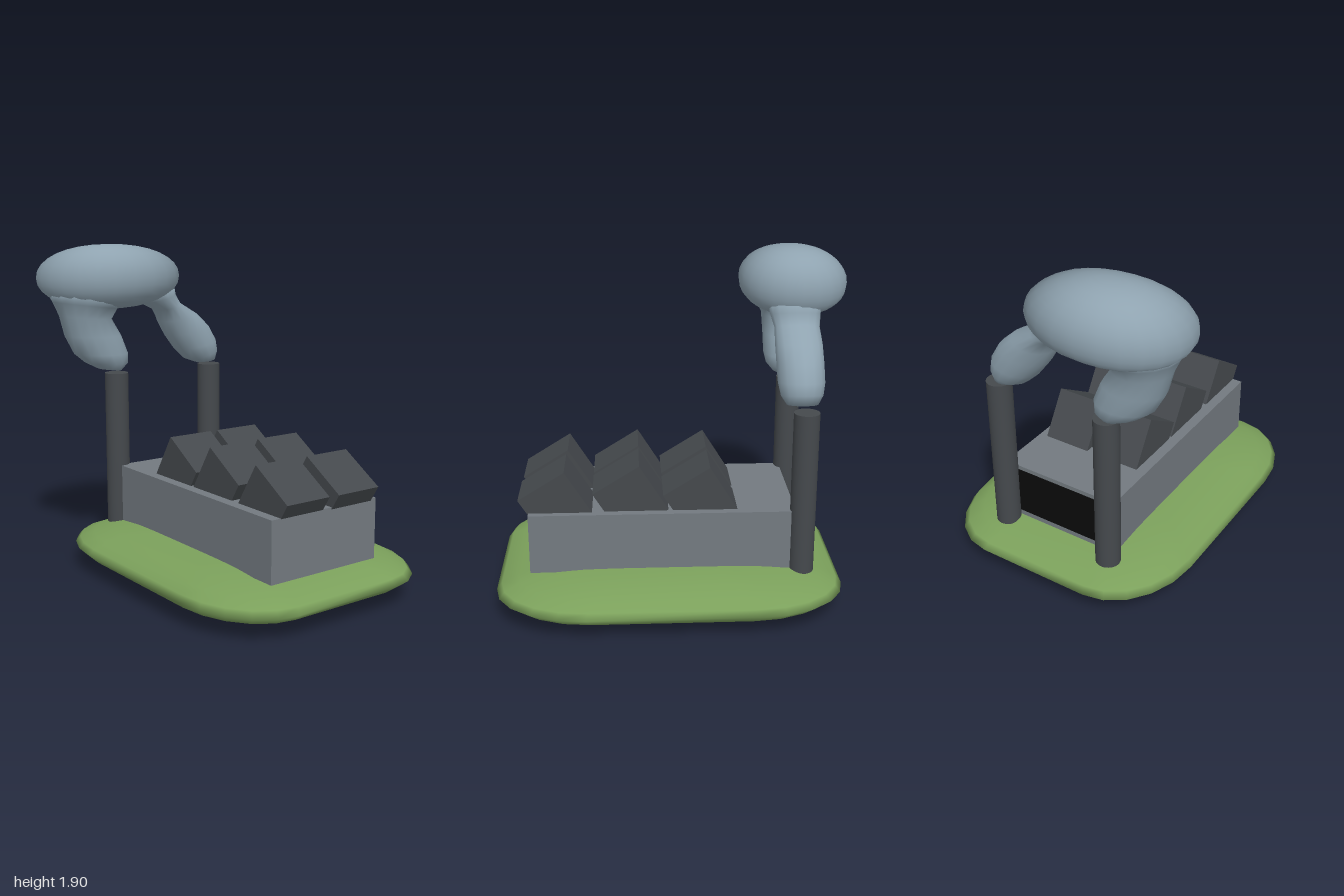
import * as THREE from 'three';

const mat = (name, color, extra = {}) => {
  const m = new THREE.MeshStandardMaterial({ color, ...extra });
  m.name = name;
  return m;
};

// Skin a stack of closed rings (bottom to top) and close both ends.
function loft(rings) {
  const n = rings[0].length, pos = [], idx = [];
  rings.forEach(r => r.forEach(p => pos.push(p.x, p.y, p.z)));
  for (let i = 0; i < rings.length - 1; i++) {
    for (let j = 0; j < n; j++) {
      const k = (j + 1) % n;
      const a = i * n + j, b = i * n + k, c = a + n, d = b + n;
      idx.push(a, c, b, b, c, d);
    }
  }
  for (const top of [false, true]) {
    const ring = rings[top ? rings.length - 1 : 0];
    const start = top ? (rings.length - 1) * n : 0;
    const mid = ring.reduce((s, p) => s.add(p), new THREE.Vector3()).divideScalar(n);
    const o = pos.length / 3;
    pos.push(mid.x, mid.y, mid.z);
    for (let j = 0; j < n; j++) {
      const a = start + j, b = start + (j + 1) % n;
      if (top) idx.push(o, b, a);
      else idx.push(o, a, b);
    }
  }
  const g = new THREE.BufferGeometry();
  g.setAttribute('position', new THREE.Float32BufferAttribute(pos, 3));
  g.setIndex(idx);
  g.computeVertexNormals();
  return g;
}

// Rounded slab: one rounded-rectangle outline scaled along an edge profile.
function groundGeometry() {
  const hx = 0.715, hz = 0.96, rx = 0.38, rz = 0.5, steps = 5;
  const outline = [];
  [[1, 1], [-1, 1], [-1, -1], [1, -1]].forEach(([sx, sz], q) => {
    for (let i = 0; i <= steps; i++) {
      const t = (q + i / steps) * Math.PI / 2;
      outline.push([sx * (hx - rx) + rx * Math.cos(t), sz * (hz - rz) + rz * Math.sin(t)]);
    }
  });
  const profile = [
    [0.2, 0], [0.5, 0.003], [0.64, 0.015], [0.82, 0.045], [0.94, 0.09], [1, 0.135],
    [0.97, 0.17], [0.88, 0.205], [0.75, 0.235], [0.59, 0.253], [0.42, 0.26], [0.2, 0.26],
  ];
  return loft(profile.map(([s, y]) =>
    outline.map(([x, z]) => new THREE.Vector3(0.055 + x * s, y, 0.04 + z * s))));
}

// Smoke column: each ring is [left x, left y, right x, right y, half depth].
function plumeGeometry(rings, z) {
  const n = 16;
  return loft(rings.map(([lx, ly, rx, ry, hz]) =>
    Array.from({ length: n }, (_, j) => {
      const t = j / n * Math.PI * 2, c = Math.cos(t) / 2;
      return new THREE.Vector3((lx + rx) / 2 + (rx - lx) * c, (ly + ry) / 2 + (ry - ly) * c, z + hz * Math.sin(t));
    })));
}

// Slightly squared ellipsoid for the drifting cloud.
function cloudGeometry() {
  const g = new THREE.SphereGeometry(1, 24, 16);
  const p = g.attributes.position;
  const soft = v => Math.sign(v) * Math.pow(Math.abs(v), 0.93);
  for (let i = 0; i < p.count; i++) {
    p.setXYZ(i, soft(p.getX(i)) * 0.445, soft(p.getY(i)) * 0.188, soft(p.getZ(i)) * 0.305);
  }
  g.computeBoundingSphere();
  return g;
}

export function createModel() {
  const model = new THREE.Group();
  model.name = 'factory';
  const grass = mat('grass green', 0x7ba05b);
  const wall = mat('wall grey', 0x737a80);
  const dark = mat('dark grey', 0x45494d);
  const black = mat('door black', 0x0a0a0a);
  const smoke = mat('smoke blue grey', 0x8fa3b0);

  const add = (name, geometry, material, x = 0, y = 0, z = 0, parent = model) => {
    const m = new THREE.Mesh(geometry, material);
    m.name = name;
    m.position.set(x, y, z);
    parent.add(m);
    return m;
  };

  add('ground', groundGeometry(), grass);

  // Main hall and its back door
  add('hall', new THREE.BoxGeometry(0.72, 0.34, 1.46), wall, 0.05, 0.41, 0.08);
  add('backDoor', new THREE.BoxGeometry(0.64, 0.28, 0.008), black, 0.05, 0.415, -0.652);

  // Tilted roof blocks: [x centre, ridge y, ridge z]
  const roof = new THREE.Group();
  roof.name = 'roofBlocks';
  model.add(roof);
  const block = new THREE.BoxGeometry(0.282, 0.3, 0.3);
  [
    [-0.11, 0.815, 0.605], [-0.108, 0.835, 0.205], [-0.108, 0.825, -0.18],
    [0.232, 0.815, 0.61], [0.222, 0.84, 0.205], [0.222, 0.825, -0.18],
  ].forEach(([x, y, z]) => {
    add('roofBlock', block, dark, x, y - 0.207, z + 0.048, roof).rotation.x = 0.557;
  });

  // Chimneys
  const pipe = new THREE.CylinderGeometry(0.07, 0.07, 0.92, 32);
  for (const x of [-0.295, 0.385]) add('chimney', pipe, dark, x, 0.68, -0.69);

  // Smoke
  add('smokeCloud', cloudGeometry(), smoke, -0.33, 1.715, -0.695);
  add('leftSmoke', plumeGeometry([
    [0.27, 1.16, 0.4, 1.18, 0.085], [0.2, 1.185, 0.415, 1.24, 0.115],
    [0.13, 1.25, 0.405, 1.3, 0.128], [0.06, 1.34, 0.35, 1.39, 0.13],
    [0.01, 1.43, 0.26, 1.47, 0.13], [-0.015, 1.5, 0.12, 1.55, 0.125],
    [-0.12, 1.55, 0.09, 1.61, 0.14], [-0.2, 1.62, 0.085, 1.67, 0.15],
  ], -0.673), smoke);
  add('rightSmoke', plumeGeometry([
    [-0.42, 1.175, -0.28, 1.16, 0.08], [-0.5, 1.215, -0.238, 1.2, 0.115],
    [-0.57, 1.27, -0.235, 1.26, 0.128], [-0.63, 1.38, -0.28, 1.37, 0.13],
    [-0.66, 1.5, -0.345, 1.47, 0.135], [-0.695, 1.58, -0.31, 1.53, 0.17],
    [-0.735, 1.65, -0.2, 1.61, 0.22],
  ], -0.68), smoke);

  return model;
}
